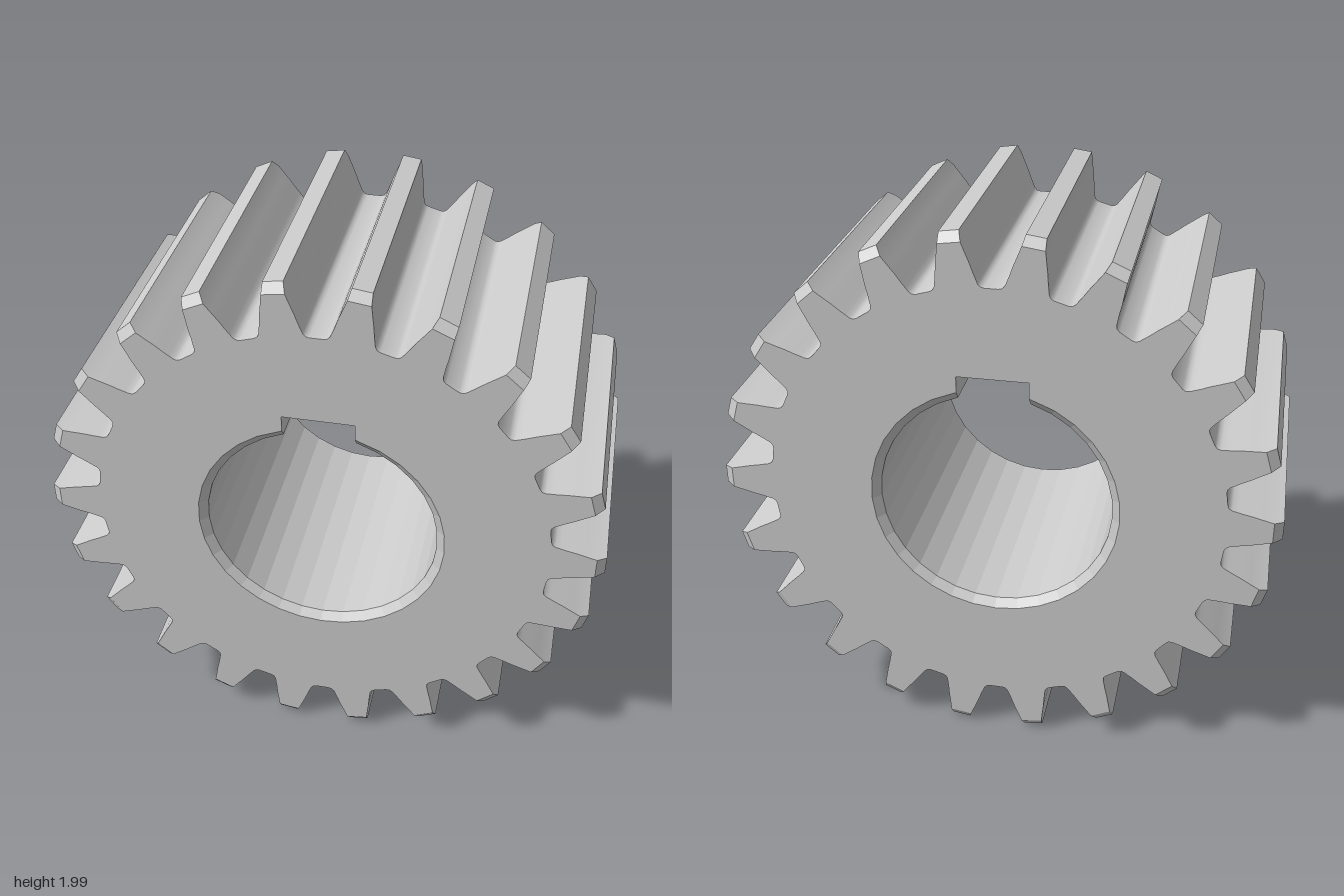
import * as THREE from 'three';
import { toCreasedNormals } from 'three/addons/utils/BufferGeometryUtils.js';

const TEETH = 22, HALF = 0.5, CHAMFER = 0.025;
const BORE = 0.415, BORE_MOUTH = 0.445, KEY_X = 0.125, KEY_TOP = 0.486;

// Half tooth: [distance from the axis, half width], root to tip
const FLANK = [[0.807, 0.092], [0.812, 0.08], [0.823, 0.073], [0.84, 0.069], [0.86, 0.064],
  [0.895, 0.057], [0.93, 0.048], [0.967, 0.039]];
const TIP = [1, 0.034];

// Counter-clockwise tooth outline; at the end faces the tip is cut back to the last flank point
function toothLoop(atFace) {
  const half = [...FLANK, atFace ? FLANK[FLANK.length - 1] : TIP];
  const tooth = [...half.map(([r, w]) => [r, -w]), ...half.slice().reverse()];
  const loop = [];
  for (let i = 0; i < TEETH; i++) {
    const a = (i / TEETH) * Math.PI * 2;
    for (const [x, y] of tooth) loop.push(new THREE.Vector2(x, y).rotateAround(new THREE.Vector2(), a));
  }
  return loop;
}

// Clockwise bore outline with a square keyway at the top
function boreLoop(r) {
  const sides = 30, start = Math.acos(KEY_X / BORE), sweep = Math.PI + 2 * start;
  const y = Math.sqrt(r * r - KEY_X * KEY_X);
  const loop = [new THREE.Vector2(-KEY_X, KEY_TOP), new THREE.Vector2(KEY_X, KEY_TOP), new THREE.Vector2(KEY_X, y)];
  for (let i = 1; i < sides; i++) {
    const a = start - (i / sides) * sweep;
    loop.push(new THREE.Vector2(r * Math.cos(a), r * Math.sin(a)));
  }
  loop.push(new THREE.Vector2(-KEY_X, y));
  return loop;
}

// Wall joining matching loops placed along z
function loft(sections) {
  const pos = [];
  const tri = (...p) => {
    if (p[0].distanceTo(p[1]) < 1e-6 || p[1].distanceTo(p[2]) < 1e-6 || p[2].distanceTo(p[0]) < 1e-6) return;
    p.forEach((v) => pos.push(v.x, v.y, v.z));
  };
  for (let s = 0; s + 1 < sections.length; s++) {
    const [l0, z0] = sections[s], [l1, z1] = sections[s + 1];
    for (let i = 0; i < l0.length; i++) {
      const j = (i + 1) % l0.length;
      const a = new THREE.Vector3(l0[i].x, l0[i].y, z0), b = new THREE.Vector3(l0[j].x, l0[j].y, z0);
      const c = new THREE.Vector3(l1[j].x, l1[j].y, z1), d = new THREE.Vector3(l1[i].x, l1[i].y, z1);
      tri(a, b, c);
      tri(a, c, d);
    }
  }
  const g = new THREE.BufferGeometry();
  g.setAttribute('position', new THREE.Float32BufferAttribute(pos, 3));
  g.computeVertexNormals();
  return g;
}

// Four sections: face, end of chamfer, end of chamfer, face
const chamfered = (face, middle) => loft([[face, -HALF], [middle, -HALF + CHAMFER], [middle, HALF - CHAMFER], [face, HALF]]);

export function createModel() {
  const gear = new THREE.Group();
  gear.name = 'spurGear';
  const smooth = new THREE.MeshStandardMaterial({ color: 0xcccccc });
  const flat = new THREE.MeshStandardMaterial({ color: 0xcccccc, flatShading: true });
  const add = (name, geometry, material) => {
    const mesh = new THREE.Mesh(geometry, material);
    mesh.name = name;
    mesh.position.y = 1;
    gear.add(mesh);
    return mesh;
  };

  // Toothed rim and keyed bore
  const rimFace = toothLoop(true), boreFace = boreLoop(BORE_MOUTH);
  add('teeth', toCreasedNormals(chamfered(rimFace, toothLoop(false)), 0.7), smooth);
  add('keyedBore', chamfered(boreFace, boreLoop(BORE)), flat);

  // End faces
  const outline = rimFace.filter((p, i) => p.distanceTo(rimFace[(i + 1) % rimFace.length]) > 1e-6);
  const shape = new THREE.Shape(outline);
  shape.holes.push(new THREE.Path(boreFace));
  const face = new THREE.ShapeGeometry(shape);
  add('frontFace', face, flat).position.z = HALF;
  const back = add('backFace', face, flat);
  back.position.z = -HALF;
  back.rotation.y = Math.PI;

  return gear;
}
